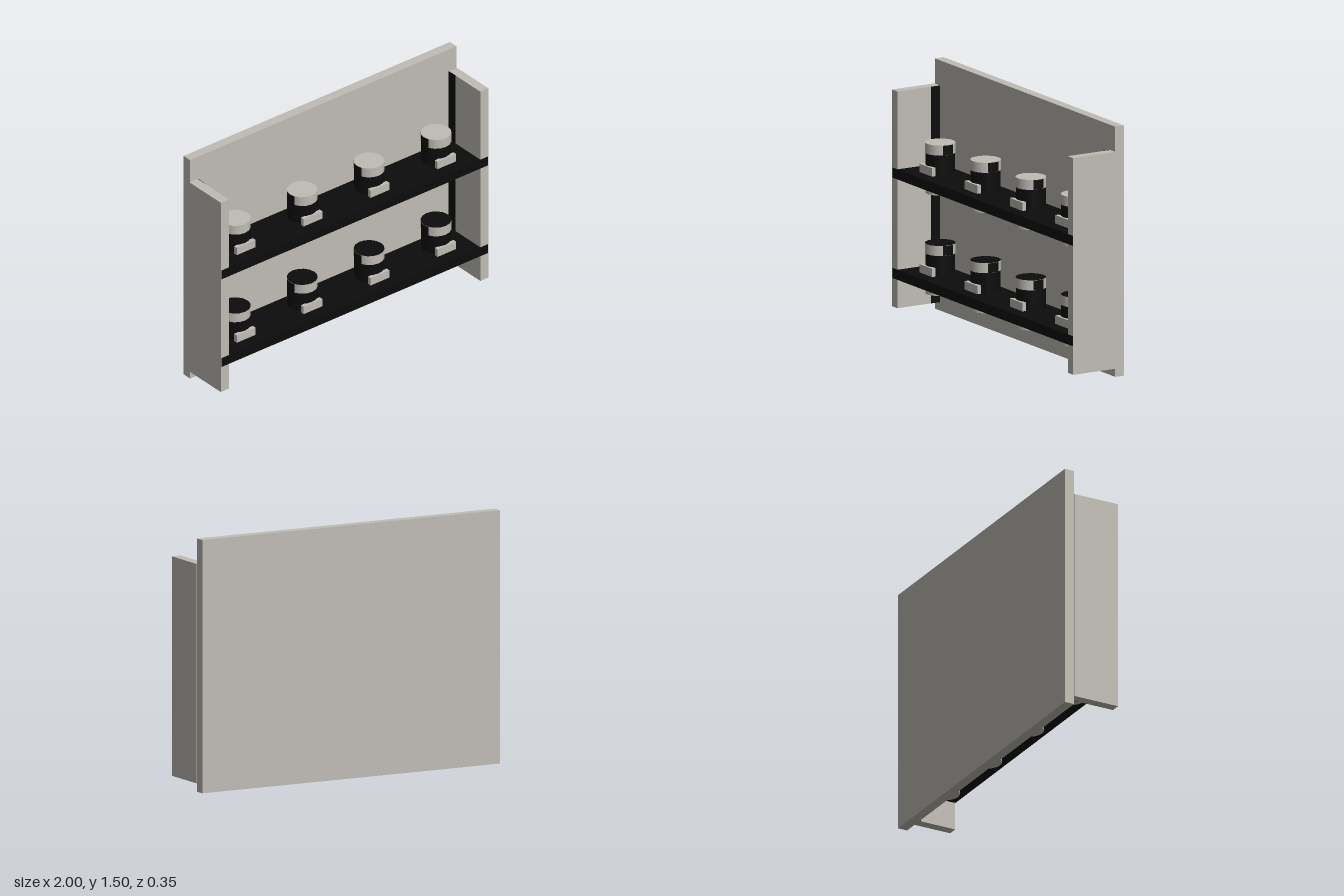
import * as THREE from 'three';

export function createModel() {
  const model = new THREE.Group();
  model.name = 'wallShelf';

  const stone = new THREE.MeshStandardMaterial({ color: 0xc0bcb5 });
  stone.name = 'warm grey';
  const black = new THREE.MeshStandardMaterial({ color: 0x0b0c0b });
  black.name = 'black';

  const add = (parent, name, geometry, material, x, y, z) => {
    const mesh = new THREE.Mesh(geometry, material);
    mesh.name = name;
    mesh.position.set(x, y, z);
    parent.add(mesh);
    return mesh;
  };
  // Box given by its limits on each axis
  const box = (parent, name, material, [x0, x1], [y0, y1], [z0, z1]) =>
    add(parent, name, new THREE.BoxGeometry(x1 - x0, y1 - y0, z1 - z0), material,
      (x0 + x1) / 2, (y0 + y1) / 2, (z0 + z1) / 2);

  // Back board and side boards
  box(model, 'backBoard', stone, [-0.995, 0.995], [0, 1.495], [-0.175, -0.115]);
  for (const s of [-1, 1]) {
    const side = s > 0 ? 'left' : 'right';
    add(model, side + 'SideBoard', new THREE.BoxGeometry(0.06, 1.295, 0.29), stone, s * 0.97, 0.6975, 0.03);
    // Dark strip in the inner back corner
    add(model, side + 'CornerStrip', new THREE.BoxGeometry(0.004, 1.295, 0.06), black, s * 0.939, 0.6975, -0.085);
  }

  // One jar, its origin at the shelf's top surface
  const makeJar = (topMaterial) => {
    const jar = new THREE.Group();
    jar.name = 'jar';
    add(jar, 'jarBase', new THREE.CylinderGeometry(0.088, 0.088, 0.12, 16), stone, 0, -0.06, 0);
    add(jar, 'jarBody', new THREE.CylinderGeometry(0.088, 0.088, 0.12, 16), black, 0, 0.06, 0);
    add(jar, 'jarLid', new THREE.CylinderGeometry(0.09, 0.09, 0.06, 16), [stone, topMaterial, stone], 0, 0.15, 0);
    // Dark grips on both sides of the lid
    for (const angle of [Math.PI / 2, -Math.PI / 2]) {
      add(jar, 'lidGrip', new THREE.CylinderGeometry(0.092, 0.092, 0.058, 2, 1, true, angle - Math.PI / 8, Math.PI / 4),
        black, 0, 0.15, 0);
    }
    box(jar, 'label', stone, [-0.07, 0.07], [-0.03, 0.05], [0.075, 0.1]);
    return jar;
  };

  // Two shelves with four jars each
  [0.28, 0.88].forEach((top, row) => {
    box(model, row ? 'upperShelf' : 'lowerShelf', black, [-0.995, 0.995], [top - 0.06, top], [-0.115, 0.176]);
    for (const x of [-0.75, -0.25, 0.25, 0.75]) {
      const jar = makeJar(row ? stone : black);
      jar.position.set(x, top, 0);
      model.add(jar);
    }
  });

  return model;
}
